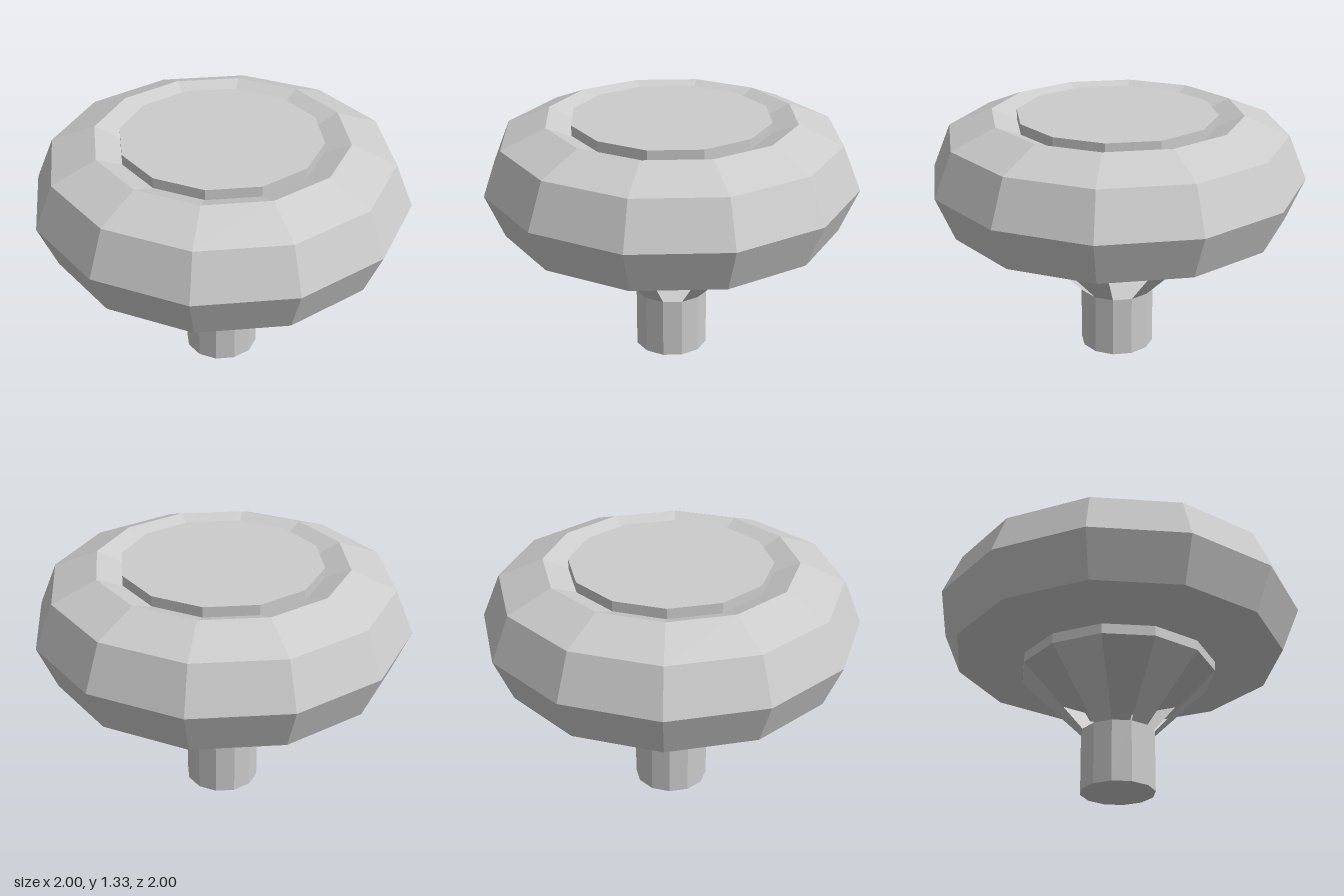
import * as THREE from 'three';

const SIDES = 12;
const RING_R = 2 / 3, TUBE_R = 1 / 3, CENTRE_Y = 1;
const HUB_R = 0.533, STEM_R = 0.2, STEM_H = 1 / 3;

export function createModel() {
  const group = new THREE.Group();
  const solid = new THREE.MeshStandardMaterial({ color: 0xcccccc, flatShading: true });
  const thin = new THREE.MeshStandardMaterial({ color: 0xcccccc, flatShading: true, side: THREE.DoubleSide });

  const add = (name, geometry, y, material = solid) => {
    const mesh = new THREE.Mesh(geometry, material);
    mesh.name = name;
    mesh.position.y = y;
    group.add(mesh);
  };

  // Faceted ring with an octagonal section
  add('ring', new THREE.TorusGeometry(RING_R, TUBE_R, 8, SIDES).rotateX(Math.PI / 2), CENTRE_Y);

  // Disc filling the ring, as tall as the tube
  add('hub', new THREE.CylinderGeometry(HUB_R, HUB_R, 2 * TUBE_R, SIDES), CENTRE_Y);

  // Short stem the model stands on
  add('stem', new THREE.CylinderGeometry(STEM_R, STEM_R, STEM_H, SIDES), STEM_H / 2);

  // Six thin tapered struts: every other facet of a cone, with open gaps between
  const strutH = CENTRE_Y - TUBE_R - STEM_H;
  for (let i = 0; i < SIDES / 2; i++) {
    const start = (i * 2 * Math.PI * 2) / SIDES;
    const strut = new THREE.CylinderGeometry(HUB_R, STEM_R, strutH, 1, 1, true, start, (Math.PI * 2) / SIDES);
    add('strut' + (i + 1), strut, STEM_H + strutH / 2, thin);
  }

  return group;
}
